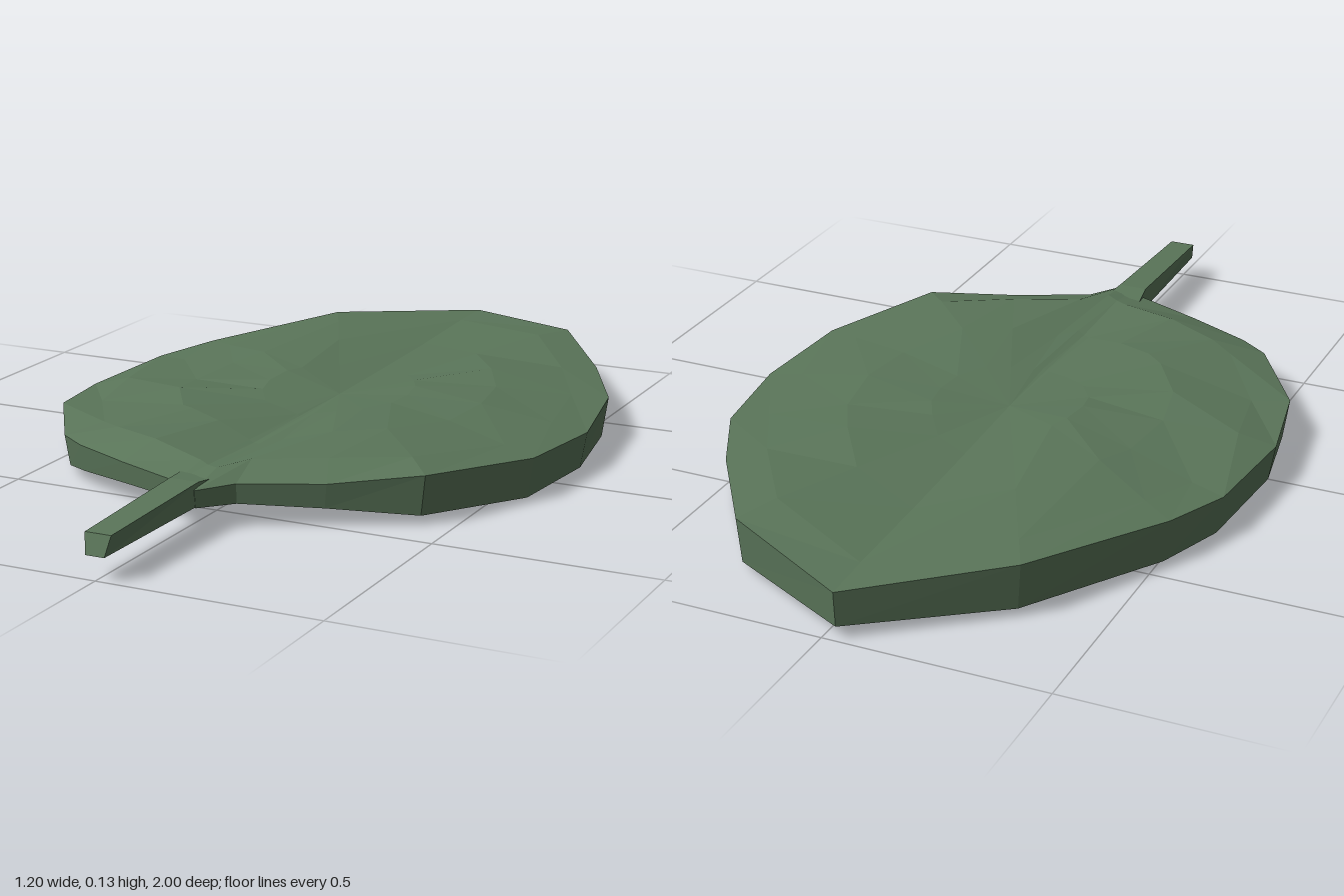
import * as THREE from 'three';

// Leaf outline (x, z), from the tip along the left edge to the stalk and back
const OUTLINE = [
  [-0.03, -1], [0.28, -0.84], [0.45, -0.59], [0.555, -0.39], [0.6, -0.13], [0.575, 0.13],
  [0.44, 0.4], [0.26, 0.5], [0.09, 0.58], [0.035, 0.66], [0, 0.64], [-0.03, 0.62],
  [-0.2, 0.55], [-0.35, 0.48], [-0.42, 0.43], [-0.56, 0.21], [-0.6, 0], [-0.58, -0.28],
  [-0.52, -0.44], [-0.33, -0.77],
];
const CENTRE_Z = -0.1;

// Heights across the blade, by distance from the midrib
const TOP = [[0, 0.113], [0.2, 0.138], [0.32, 0.13], [0.57, 0.1], [0.62, 0.085]];
const BOTTOM = [[0, 0.02], [0.1, 0.03], [0.25, 0.024], [0.5, 0.006], [0.62, 0.008]];

function sample(knots, v) {
  for (let i = 1; i < knots.length; i++) {
    const [a, ya] = knots[i - 1], [b, yb] = knots[i];
    if (v <= b) return ya + (yb - ya) * (v - a) / (b - a);
  }
  return knots[knots.length - 1][1];
}

// Small repeatable unevenness
const bump = (x, z) => 0.007 * Math.sin(x * 17 + 1) * Math.cos(z * 13 + x * 5);

function topHeight(x, z, f) {
  const y = sample(TOP, Math.abs(x)) + (f < 1 ? bump(x, z) : 0);
  // The rim drops on both sides of the stalk
  return f === 1 && z > 0.42 ? Math.min(y, 0.1) : y;
}

function bottomHeight(x, z, f) {
  const y = sample(BOTTOM, Math.abs(x)) + (f < 0.9 ? 0.5 * bump(x, z) : 0);
  const base = THREE.MathUtils.clamp((z - 0.3) / 0.33, 0, 1);
  const tip = THREE.MathUtils.clamp((-z - 0.6) / 0.4, 0, 1);
  return THREE.MathUtils.lerp(y, 0.06, base) + 0.012 * tip;
}

// Closed blade: rings run from the top centre over the rim to the bottom centre
function bladeGeometry() {
  const rings = [
    ...[0, 0.28, 0.58, 0.86, 1].map(f => [f, topHeight, 1]),
    ...[1, 0.8, 0.45, 0].map(f => [f, bottomHeight, 0.975]),
  ];
  const n = OUTLINE.length, positions = [], index = [];
  rings.forEach(([f, height, inset], r) => {
    OUTLINE.forEach(([ox, oz], i) => {
      const x = ox * f * inset;
      const z = CENTRE_Z + (oz - CENTRE_Z) * f * (inset < 1 ? 0.992 : 1);
      positions.push(x, height(x, z, f), z);
      if (r === 0) return;
      const j = (i + 1) % n, a = (r - 1) * n, b = r * n;
      if (f > 0) index.push(a + i, b + j, b + i);
      if (rings[r - 1][0] > 0) index.push(a + i, a + j, b + j);
    });
  });
  const geometry = new THREE.BufferGeometry();
  geometry.setAttribute('position', new THREE.Float32BufferAttribute(positions, 3));
  geometry.setIndex(index);
  geometry.computeVertexNormals();
  return geometry;
}

// Square stalk, flared where it enters the blade, with a slanted cut end
function stalkGeometry() {
  const geometry = new THREE.BoxGeometry(1, 1, 1, 1, 1, 2);
  const p = geometry.attributes.position;
  for (let i = 0; i < p.count; i++) {
    const side = Math.sign(p.getX(i)), up = p.getY(i) > 0, s = p.getZ(i);
    if (s > 0.25) p.setXYZ(i, side * (up ? 0.03 : 0.022), up ? 0.1 : 0.057, up ? 0.985 : 1);
    else if (s > -0.25) p.setXYZ(i, side * 0.034, up ? 0.113 : 0.062, 0.64);
    else p.setXYZ(i, side * 0.05, up ? 0.105 : 0.06, 0.54);
  }
  geometry.computeVertexNormals();
  return geometry;
}

export function createModel() {
  const leaf = new THREE.Group();
  leaf.name = 'leaf';
  const material = new THREE.MeshStandardMaterial({ color: 0x5a7559, flatShading: true });
  const add = (name, geometry) => {
    const mesh = new THREE.Mesh(geometry, material);
    mesh.name = name;
    leaf.add(mesh);
  };
  add('blade', bladeGeometry());
  add('stalk', stalkGeometry());
  return leaf;
}
